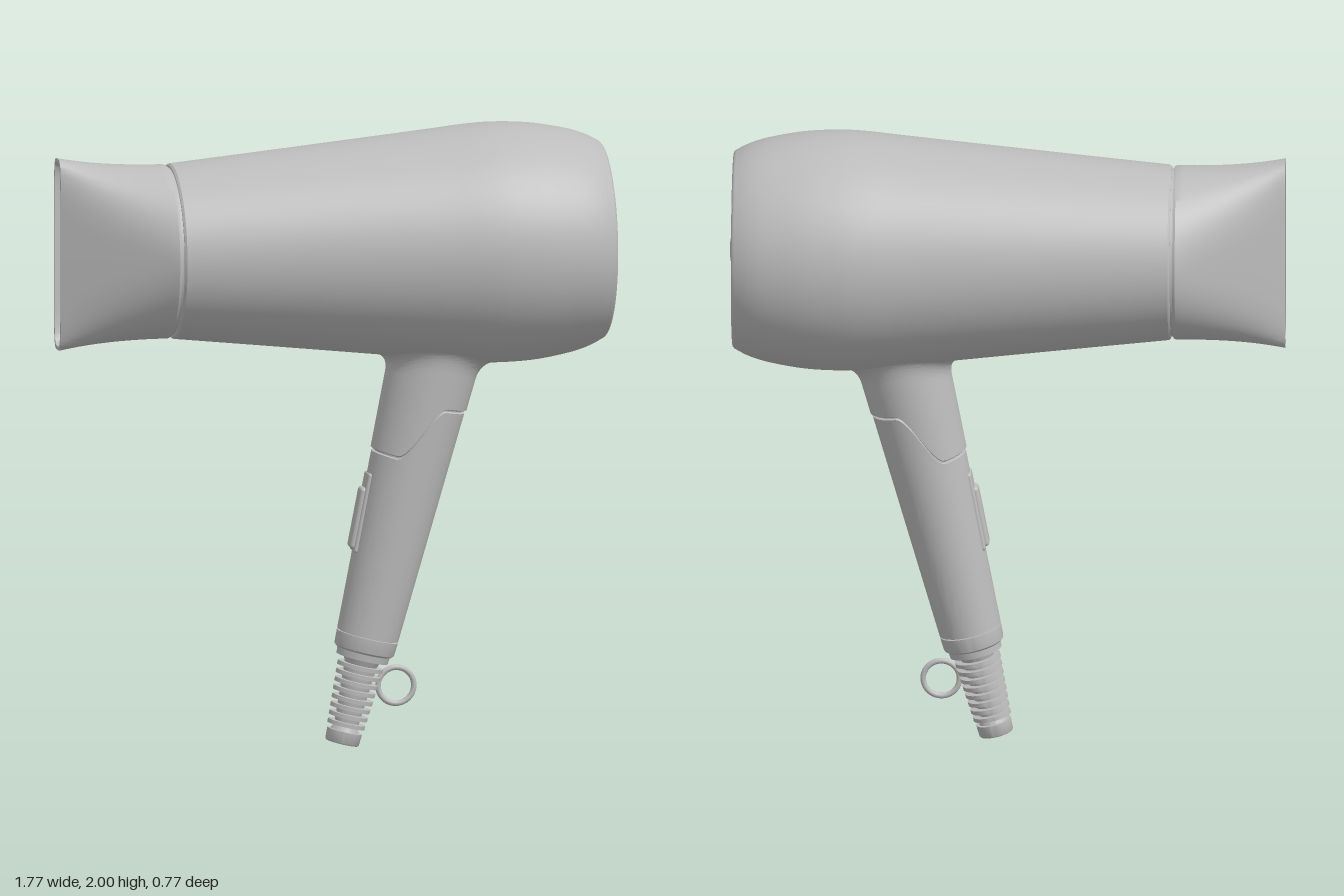
import * as THREE from 'three';
import { toCreasedNormals } from 'three/addons/utils/BufferGeometryUtils.js';
import { RoundedBoxGeometry } from 'three/addons/geometries/RoundedBoxGeometry.js';

const AXIS_Y = 1.618;                       // height of the barrel axis
const TILT = 0.238;                         // lean of the handle
const BASE = new THREE.Vector3(0.11, 0.32, 0);
const lerp = THREE.MathUtils.lerp;

export function createModel() {
  const grey = new THREE.MeshStandardMaterial({ color: 0xbcbcbc });
  grey.name = 'grey plastic';
  const black = new THREE.MeshStandardMaterial({ color: 0x0c0c0c });
  black.name = 'dark interior';
  const root = new THREE.Group();
  root.name = 'hairDryer';

  const add = (parent, name, geometry, material = grey) => {
    const mesh = new THREE.Mesh(geometry, material);
    mesh.name = name;
    parent.add(mesh);
    return mesh;
  };
  const lathe = (profile, segments = 64) => toCreasedNormals(
    new THREE.LatheGeometry(profile.map(([r, y]) => new THREE.Vector2(r, y)), segments), 0.6);

  // Closed rings of points joined into a skin
  const loft = (rows) => {
    const n = rows[0].length, index = [];
    for (let i = 0; i < rows.length - 1; i++) {
      for (let j = 0; j < n; j++) {
        const k = (j + 1) % n;
        const a = i * n + j, b = a + n, c = i * n + k, d = c + n;
        index.push(a, b, c, c, b, d);
      }
    }
    const geometry = new THREE.BufferGeometry().setFromPoints(rows.flat());
    geometry.setIndex(index);
    return toCreasedNormals(geometry, 0.6);
  };
  const ring = (n, point) => Array.from({ length: n }, (_, j) => point(j / n * Math.PI * 2));

  // Barrel group: local y runs along world x
  const barrel = new THREE.Group();
  barrel.name = 'barrel';
  barrel.position.y = AXIS_Y;
  barrel.rotation.z = -Math.PI / 2;
  root.add(barrel);

  const shell = new THREE.SplineCurve([
    [0.28, -0.515], [0.312, -0.2], [0.343, 0.1], [0.366, 0.32], [0.38, 0.45], [0.384, 0.54],
    [0.378, 0.65], [0.359, 0.76], [0.339, 0.825], [0.316, 0.87],
  ].map(([r, x]) => new THREE.Vector2(r, x))).getPoints(60);
  add(barrel, 'bodyShell', lathe([
    [0.268, -0.535], [0.268, -0.522], [0.274, -0.522],
    ...shell.map((p) => [p.x, p.y]),
    [0.31, 0.875], [0.302, 0.876], [0.296, 0.87], [0.292, 0.81],
  ], 96));

  // Rear intake grille
  const grille = new THREE.Group();
  grille.name = 'intakeGrille';
  barrel.add(grille);
  const hoop = (name, inner, outer, back, front) => add(grille, name, lathe([
    [inner, back], [outer, back], [outer, front], [inner, front], [inner, back],
  ]));
  hoop('grilleRim', 0.278, 0.294, 0.82, 0.868);
  hoop('grilleRing', 0.21, 0.219, 0.838, 0.872);
  hoop('grilleRing', 0.145, 0.154, 0.842, 0.876);
  add(grille, 'grilleHub', lathe([
    [0, 0.84], [0.055, 0.84], [0.055, 0.877], [0.045, 0.882], [0.025, 0.885], [0, 0.886],
  ]));
  for (let i = 0; i < 16; i++) {
    const spoke = new THREE.Group();
    spoke.rotation.y = i / 16 * Math.PI * 2;
    grille.add(spoke);
    const bar = add(spoke, 'grilleSpoke', new THREE.BoxGeometry(0.24, 0.03, 0.008));
    bar.position.set(0.165, 0.857, 0);
    bar.rotation.z = -0.04;
  }
  const intake = add(barrel, 'intakeInterior', new THREE.CircleGeometry(0.292, 64), black);
  intake.position.y = 0.82;
  intake.rotation.x = -Math.PI / 2;
  const outlet = add(barrel, 'outletInterior', new THREE.CircleGeometry(0.268, 64), black);
  outlet.position.y = -0.536;
  outlet.rotation.x = Math.PI / 2;

  // Concentrator nozzle: round at the barrel, a tall slot at the mouth
  const squash = (v) => Math.sign(v) * Math.abs(v) ** 0.42;
  const nozzleRow = (t, inset, x = lerp(-0.538, -0.885, t)) => ring(96, (a) => {
    const c = Math.cos(a), s = Math.sin(a), r = 0.278 - inset;
    const flare = t * t * (0.65 + 0.35 * t);
    return new THREE.Vector3(x,
      AXIS_Y + lerp(r * c, (0.278 - inset) * squash(c), t) + 0.03 * flare * squash(c),
      lerp(r * s, (0.064 - inset) * squash(s), t));
  });
  const steps = Array.from({ length: 17 }, (_, i) => i / 16);
  add(root, 'nozzle', loft([
    nozzleRow(0, 0.012, -0.53), nozzleRow(0, 0.004, -0.53),
    ...steps.map((t) => nozzleRow(t, 0)),
    ...steps.map((t) => nozzleRow(1 - t, 0.012)),
  ]));

  // Handle skin: points on a leaning cone, angle 0 at the rear
  const axis = new THREE.Vector3(Math.sin(TILT), Math.cos(TILT), 0);
  const across = new THREE.Vector3(Math.cos(TILT), -Math.sin(TILT), 0);
  const wall = (s, a, grow = 0) => {
    const r = 0.098 + 0.046 * s + grow;
    return BASE.clone().addScaledVector(axis, s).addScaledVector(across, r * Math.cos(a))
      .add(new THREE.Vector3(0, 0, r * Math.sin(a)));
  };
  const seam = (a) => lerp(0.63, 0.812, THREE.MathUtils.smoothstep(Math.cos(a), -0.5, 0.42));
  const barrelRadius = (x) => {
    const i = Math.max(1, shell.findIndex((p) => p.y >= x));
    const p = shell[i - 1], q = shell[i];
    return lerp(p.x, q.x, (x - p.y) / (q.y - p.y));
  };
  const underside = (x, z) => AXIS_Y - Math.sqrt(barrelRadius(x) ** 2 - z * z);
  const N = 72;

  add(root, 'lowerHandle', loft([
    ring(N, (a) => wall(0.044, a, -0.02)), ring(N, (a) => wall(0.044, a)),
    ...steps.map((t) => ring(N, (a) => wall(lerp(0.046, seam(a) - 0.006, t), a))),
    ring(N, (a) => wall(seam(a) - 0.003, a, -0.005)),
    ring(N, (a) => wall(seam(a) - 0.003, a, -0.02)),
  ]));

  // Upper handle flares into the underside of the barrel
  const FILLET = 0.06;
  const blends = ring(N, (a) => {
    let s = 0.95;
    for (let i = 0; i < 12; i++) {
      const p = wall(s, a, 0.004);
      s += underside(p.x, p.z) - p.y;
    }
    const corner = wall(s, a, 0.004);
    const end = corner.clone().addScaledVector(across, FILLET * Math.cos(a));
    end.z += 0.02 * Math.sin(a);
    end.y = underside(end.x, end.z) + 0.003;
    return { start: s - FILLET, curve: new THREE.QuadraticBezierCurve3(wall(s - FILLET, a, 0.004), corner, end) };
  });
  const blendRow = (t) => blends.map((b) => b.curve.getPoint(t));
  add(root, 'upperHandle', loft([
    ring(N, (a) => wall(seam(a) + 0.003, a, -0.02)),
    ring(N, (a) => wall(seam(a) + 0.003, a)),
    ...steps.slice(0, -1).map((t) => ring(N, (a) =>
      wall(lerp(seam(a) + 0.006, blends[Math.round(a / Math.PI / 2 * N)].start, t), a, 0.004))),
    ...steps.map(blendRow),
  ]));

  // Parts set out along the handle axis
  const grip = new THREE.Group();
  grip.name = 'gripParts';
  grip.position.copy(BASE);
  grip.rotation.z = -TILT;
  root.add(grip);
  add(grip, 'handleCore', lathe([[0.09, 0.0], [0.128, 0.86]]));
  add(grip, 'handleEndCap', lathe([
    [0, -0.012], [0.088, -0.012], [0.096, -0.006], [0.098, 0.002], [0.1, 0.04], [0.085, 0.041],
  ]));
  const button = add(grip, 'switch', new RoundedBoxGeometry(0.04, 0.2, 0.066, 4, 0.012));
  button.position.set(-0.113, 0.405, 0);
  button.rotation.z = 0.045;
  const thumb = add(grip, 'switchTrack', new RoundedBoxGeometry(0.02, 0.26, 0.082, 4, 0.009));
  thumb.position.set(-0.111, 0.425, 0);
  thumb.rotation.z = 0.045;

  // Ribbed cable sleeve
  const sleeve = [[0, -0.312], [0.052, -0.312], [0.055, -0.308], [0.057, -0.272], [0.046, -0.272]];
  for (let i = 0; i < 8; i++) {
    const y = -0.256 + i * 0.027, r = lerp(0.061, 0.074, i / 7);
    sleeve.push([r - 0.022, y], [r, y], [r, y + 0.013], [r - 0.022, y + 0.013]);
  }
  sleeve.push([0.06, -0.034], [0.084, -0.034], [0.086, -0.01]);
  add(grip, 'cableSleeve', lathe(sleeve, 48));

  // Hanging loop
  const loop = add(root, 'hangingLoop', new THREE.TorusGeometry(0.058, 0.009, 16, 64));
  loop.position.set(0.212, 0.197, 0);

  return root;
}
